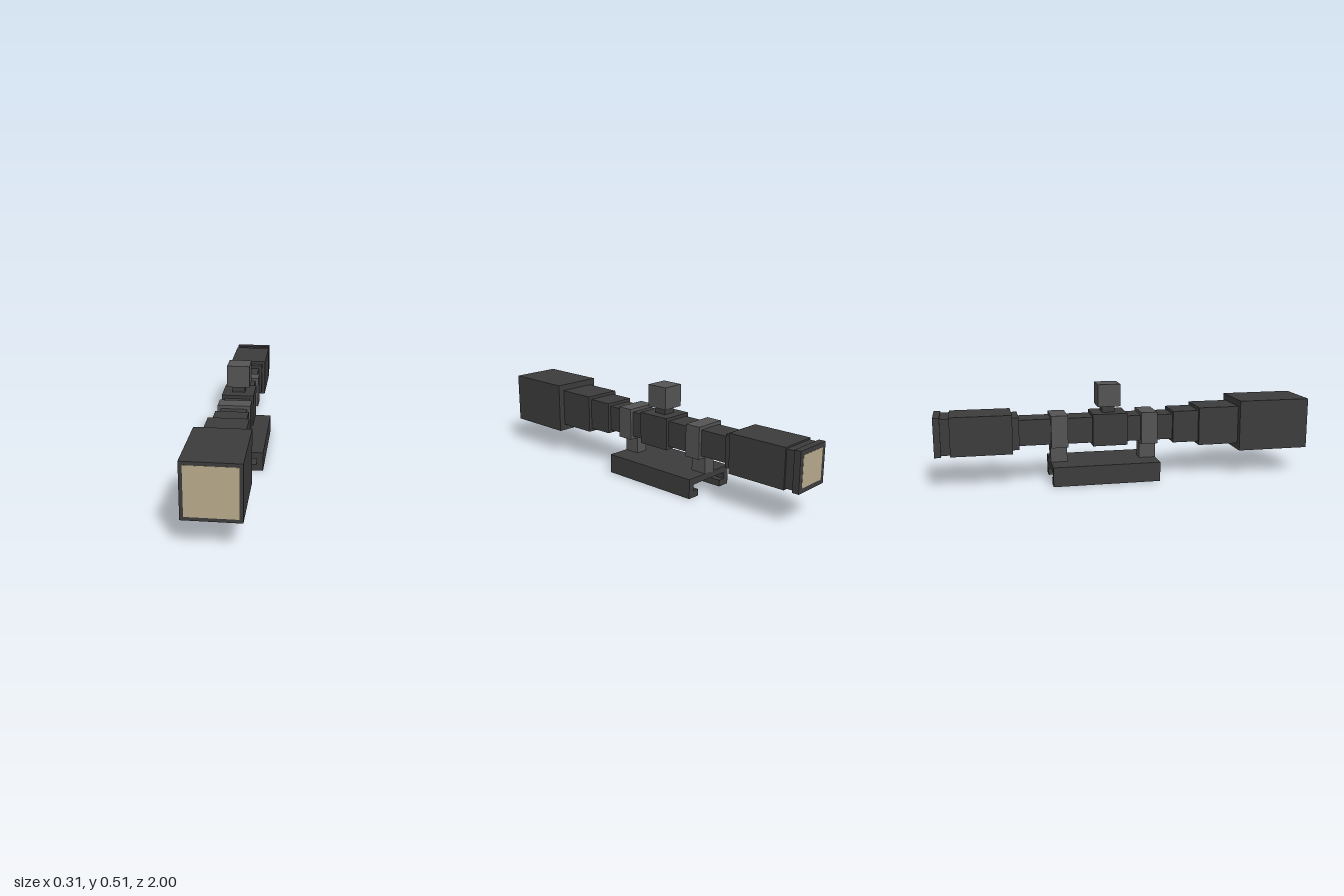
import * as THREE from 'three';

const AXIS = 0.275; // height of the optical axis

export function createModel() {
  const group = new THREE.Group();
  const dark = new THREE.MeshStandardMaterial({ color: 0x3c3c3c });
  const grey = new THREE.MeshStandardMaterial({ color: 0x545454 });
  const tan = new THREE.MeshStandardMaterial({ color: 0xb8aa8c });

  // box given by half width, y range and z range
  function block(name, half, y0, y1, z0, z1, material) {
    const mesh = new THREE.Mesh(new THREE.BoxGeometry(half * 2, y1 - y0, z1 - z0), material);
    mesh.position.set(0, (y0 + y1) / 2, (z0 + z1) / 2);
    mesh.name = name;
    group.add(mesh);
  }
  // square section centred on the optical axis
  const section = (name, half, z0, z1, material = dark) =>
    block(name, half, AXIS - half, AXIS + half, z0, z1, material);

  // scope body, front to back
  section('objectiveBell', 0.136, 0.61, 0.999);
  section('objectiveStep', 0.102, 0.39, 0.61);
  section('objectiveCollar', 0.085, 0.25, 0.39);
  section('mainTube', 0.068, -0.57, 0.25);
  section('turretBlock', 0.085, -0.185, 0);
  section('eyepieceCollar', 0.085, -0.605, -0.57);
  section('eyepiece', 0.102, -0.92, -0.605);
  section('eyepieceGroove', 0.094, -0.965, -0.92);
  section('eyepieceRim', 0.102, -0.999, -0.965);

  // lenses
  section('frontLens', 0.119, 0.98, 1, tan);
  section('rearLens', 0.079, -1, -0.98, tan);

  // elevation knob
  block('knobNeck', 0.034, 0.35, 0.397, -0.128, -0.06, dark);
  block('knob', 0.06, 0.395, 0.513, -0.154, -0.034, grey);

  // mounting rings on their posts
  for (const [z0, z1] of [[0.075, 0.163], [-0.405, -0.317]]) {
    section('mountRing', 0.085, z0, z1, grey);
    block('mountPost', 0.034, 0.1, 0.2, z0, z1, grey);
  }

  // rail clamp: C-shaped channel, open downwards
  const halfProfile = [[0.154, 0.103], [0.154, 0], [0.086, 0], [0.086, 0.035], [0.12, 0.035], [0.12, 0.069]];
  const profile = [...halfProfile, ...halfProfile.map(([x, y]) => [-x, y]).reverse()];
  const shape = new THREE.Shape(profile.map(([x, y]) => new THREE.Vector2(x, y)));
  const clamp = new THREE.Mesh(
    new THREE.ExtrudeGeometry(shape, { depth: 0.568, bevelEnabled: false }), dark);
  clamp.position.z = -0.405;
  clamp.name = 'railClamp';
  group.add(clamp);

  return group;
}
